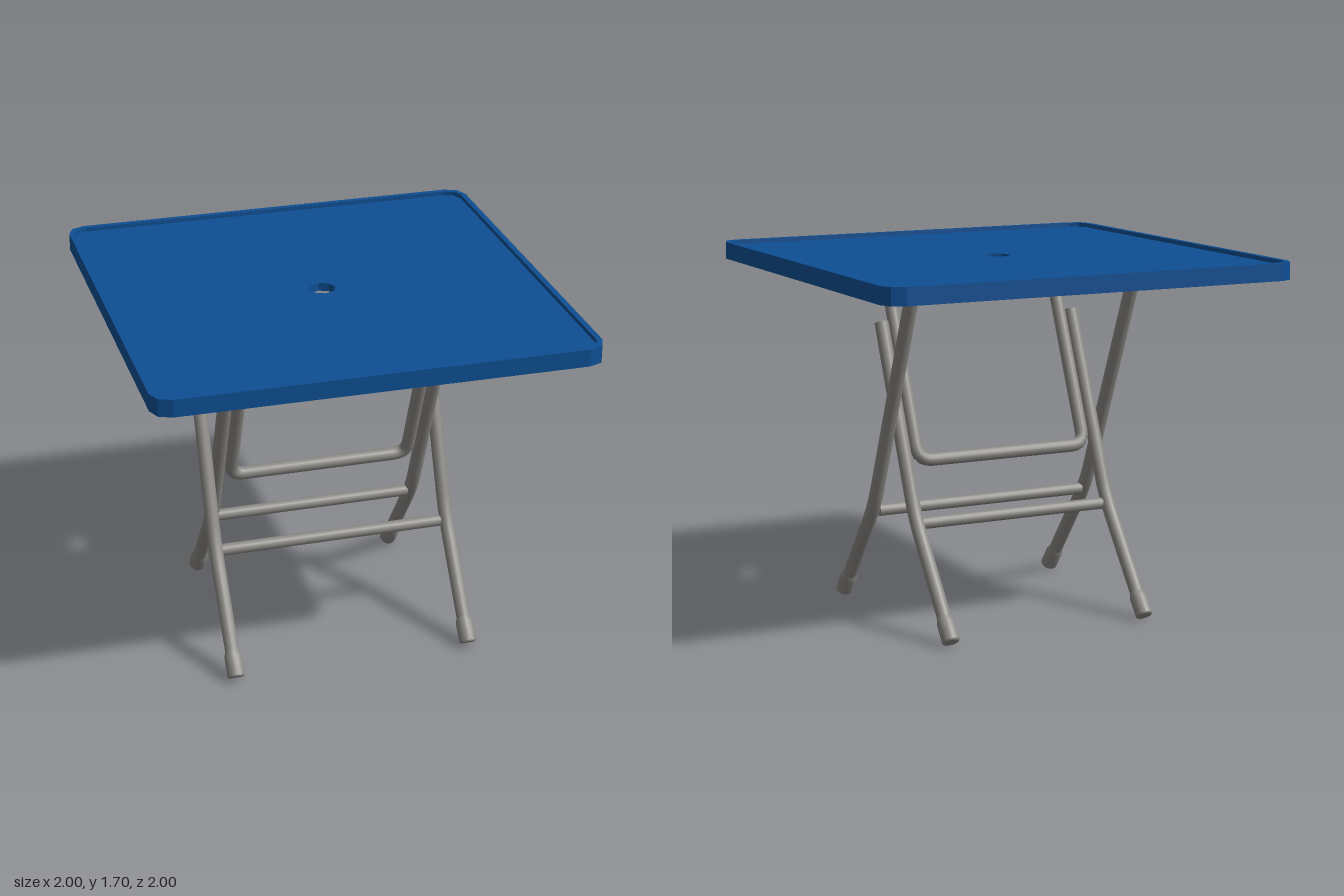
import * as THREE from 'three';
import { toCreasedNormals } from 'three/addons/utils/BufferGeometryUtils.js';

const V = (x, y, z) => new THREE.Vector3(x, y, z);

// Square outline with corners cut by a two-segment curve
function squareOutline(half, radius, target) {
  const points = [];
  for (let corner = 0; corner < 4; corner++) {
    const a0 = corner * Math.PI / 2;
    const cx = (half - radius) * Math.sign(Math.cos(a0 + Math.PI / 4));
    const cy = (half - radius) * Math.sign(Math.sin(a0 + Math.PI / 4));
    for (let i = 0; i <= 2; i++) {
      const a = a0 + i * Math.PI / 4;
      points.push(new THREE.Vector2(cx + radius * Math.cos(a), cy + radius * Math.sin(a)));
    }
  }
  return target.setFromPoints(points);
}

// Horizontal slab from a shape, between two heights
function slab(shape, bottom, top) {
  const geometry = new THREE.ExtrudeGeometry(shape, { depth: top - bottom, bevelEnabled: false });
  return geometry.rotateX(-Math.PI / 2).translate(0, bottom, 0);
}

// Straight runs joined by rounded bends
function bentPath(points, bend) {
  const path = new THREE.CurvePath();
  let from = points[0];
  for (let i = 1; i < points.length - 1; i++) {
    const p = points[i];
    const a = p.clone().add(points[i - 1].clone().sub(p).setLength(bend));
    const b = p.clone().add(points[i + 1].clone().sub(p).setLength(bend));
    path.add(new THREE.LineCurve3(from, a));
    path.add(new THREE.QuadraticBezierCurve3(a, p, b));
    from = b;
  }
  path.add(new THREE.LineCurve3(from, points[points.length - 1]));
  return path;
}

export function createModel() {
  const table = new THREE.Group();
  table.name = 'foldingTable';
  const blue = new THREE.MeshStandardMaterial({ color: 0x0e4f93 });
  blue.name = 'blue plastic';
  const grey = new THREE.MeshStandardMaterial({ color: 0x8b8985 });
  grey.name = 'grey metal';

  const add = (parent, name, geometry, material) => {
    const mesh = new THREE.Mesh(geometry, material);
    mesh.name = name;
    parent.add(mesh);
    return mesh;
  };

  // Capped tube along a bent path
  const addTube = (parent, name, points, radius, bend = 0.1, segments = 56) => {
    const path = bentPath(points, bend);
    const tube = add(parent, name, new THREE.TubeGeometry(path, segments, radius, 16), grey);
    for (const t of [0, 1]) {
      const cap = add(tube, 'tubeEnd', new THREE.CircleGeometry(radius, 16), grey);
      const outward = path.getTangentAt(t).multiplyScalar(t ? 1 : -1);
      cap.position.copy(path.getPointAt(t));
      cap.quaternion.setFromUnitVectors(V(0, 0, 1), outward);
    }
  };

  // Tabletop: raised rim around a recessed panel with a parasol hole
  const top = new THREE.Group();
  top.name = 'tabletop';
  table.add(top);
  const rim = squareOutline(1, 0.085, new THREE.Shape());
  rim.holes.push(squareOutline(0.974, 0.065, new THREE.Path()));
  add(top, 'rim', slab(rim, 1.63, 1.71), blue);
  const panel = squareOutline(0.98, 0.069, new THREE.Shape());
  const hole = [];
  for (let i = 0; i < 8; i++) {
    const a = i * Math.PI / 4;
    hole.push(new THREE.Vector2(0.062 * Math.cos(a), 0.062 * Math.sin(a)));
  }
  panel.holes.push(new THREE.Path(hole));
  add(top, 'panel', slab(panel, 1.652, 1.69), blue);

  // Foot sleeve, its base at the origin and pointing up
  const footProfile = [[0, 0], [0.036, 0], [0.041, 0.006], [0.041, 0.095], [0.033, 0.122]];
  const footGeometry = toCreasedNormals(
    new THREE.LatheGeometry(footProfile.map(([x, y]) => new THREE.Vector2(x, y)), 16), 0.6);

  // Crossed leg frames: dir sets which way the feet point along z
  const legFrame = (name, legX, barX, dir, topY) => {
    const frame = new THREE.Group();
    frame.name = name;
    table.add(frame);
    const zAt = y => dir * (-0.31 + 0.4234 * (1.63 - y));
    for (const side of [1, -1]) {
      const x = side * legX;
      const base = V(x, 0.027, dir * 0.54);
      const knee = V(x, 0.52, dir * 0.16);
      const up = knee.clone().sub(base).normalize();
      const start = base.clone().addScaledVector(up, 0.03);
      addTube(frame, 'leg', [start, knee, V(x, topY, zAt(topY))], 0.033);
      const foot = add(frame, 'foot', footGeometry, grey);
      foot.position.copy(base);
      foot.quaternion.setFromUnitVectors(V(0, 1, 0), up);
    }
    addTube(frame, 'crossbar', [V(-barX, 0.495, dir * 0.168), V(barX, 0.495, dir * 0.168)], 0.028, 0, 1);
    return zAt;
  };
  legFrame('outerLegFrame', 0.565, 0.54, 1, 1.655);
  const innerZ = legFrame('innerLegFrame', 0.5, 0.475, -1, 1.38);

  // U-shaped brace continuing the inner legs up to the panel
  const brace = [[0.435, 1.655], [0.435, 0.765], [-0.435, 0.765], [-0.435, 1.655]];
  addTube(table, 'supportBrace', brace.map(([x, y]) => V(x, y, innerZ(y))), 0.031, 0.07, 120);

  return table;
}
